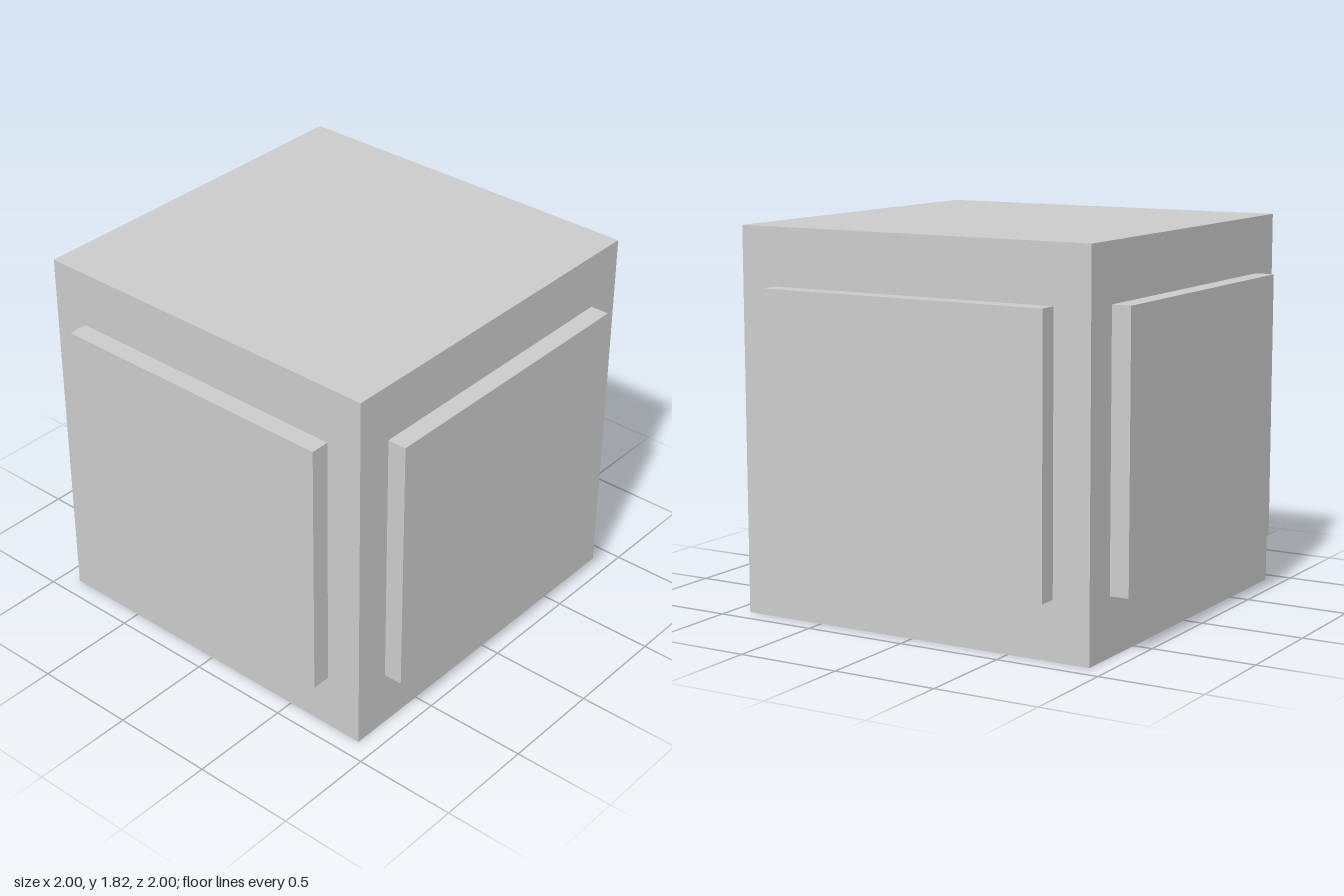
import * as THREE from 'three';

const grey = new THREE.MeshStandardMaterial({ color: 0xcccccc, side: THREE.DoubleSide });
grey.name = 'lightGrey';

// Box shell with an open bottom, resting with its lower rim at y = base
function openBox(name, width, height, depth, base) {
  const geometry = new THREE.BoxGeometry(width, height, depth);
  const index = Array.from(geometry.index.array);
  index.splice(18, 6); // remove the downward face
  geometry.setIndex(index);
  geometry.clearGroups();
  geometry.translate(0, base + height / 2, 0);
  const mesh = new THREE.Mesh(geometry, grey);
  mesh.name = name;
  return mesh;
}

export function createModel() {
  const model = new THREE.Group();
  model.name = 'panelledCube';
  const panelWidth = 1.454, panelHeight = 1.27, panelBase = 0.276;

  // Main hollow cube
  model.add(openBox('cubeShell', 1.816, 1.818, 1.816, 0));

  // Two crossing shells whose ends stand out as the raised side panels
  model.add(openBox('leftRightPanels', 2, panelHeight, panelWidth, panelBase));
  model.add(openBox('frontBackPanels', panelWidth, panelHeight, 2, panelBase));
  return model;
}
